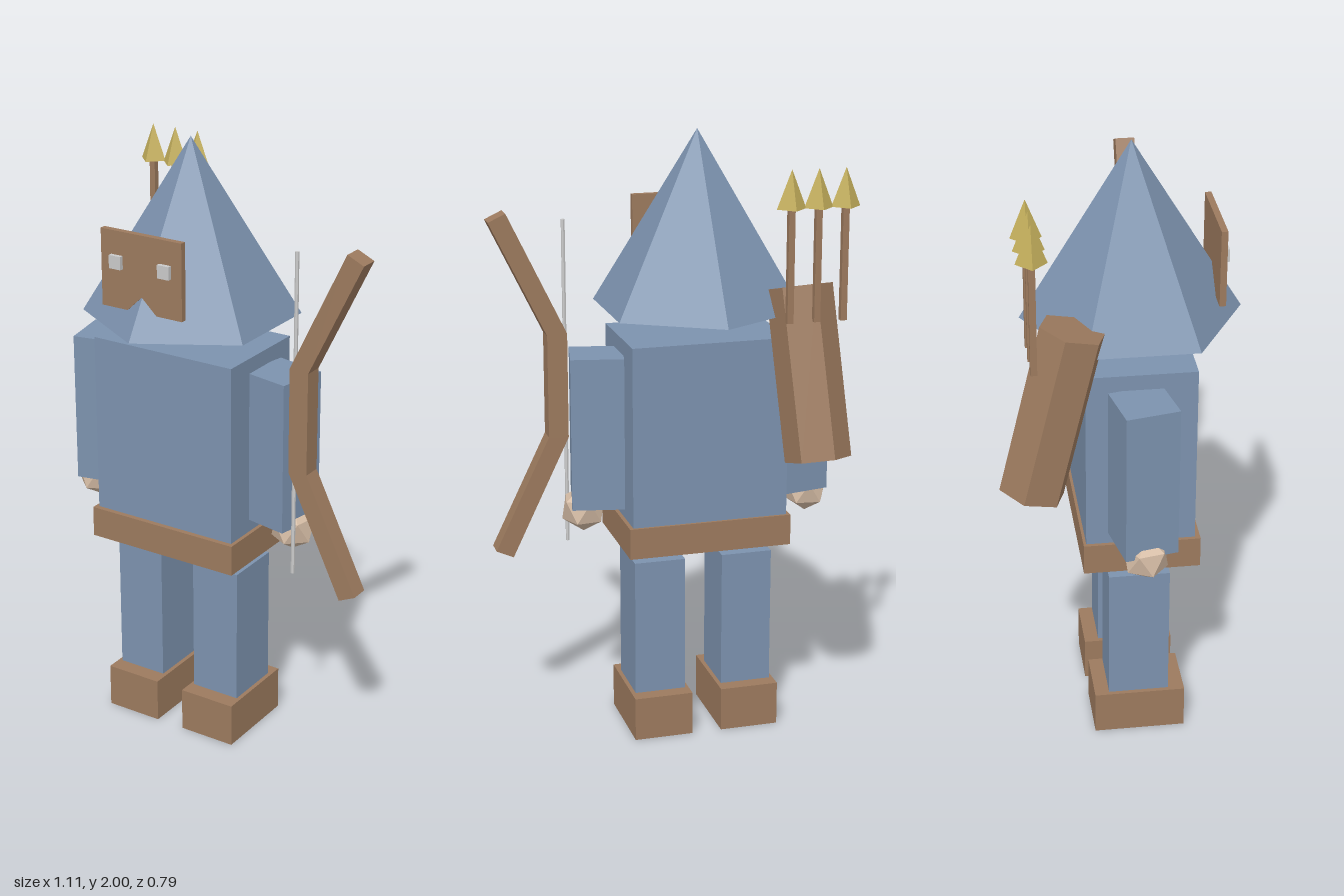
import * as THREE from 'three';

const mat = (name, color) => {
  const m = new THREE.MeshStandardMaterial({ color, flatShading: true });
  m.name = name;
  return m;
};

export function createModel() {
  const cloth = mat('blueCloth', 0x7c92ae);
  const leather = mat('brownLeather', 0x9c7a5e);
  const skin = mat('skin', 0xd4bba4);
  const gold = mat('gold', 0xc4af5c);
  const pale = mat('paleGrey', 0xcacaca);

  const model = new THREE.Group();
  model.name = 'archer';
  const cx = -0.108, cz = 0.049; // centre of the body

  const add = (name, geometry, material, x, y, z, parent = model) => {
    const mesh = new THREE.Mesh(geometry, material);
    mesh.name = name;
    mesh.position.set(x, y, z);
    parent.add(mesh);
    return mesh;
  };
  const box = (w, h, d) => new THREE.BoxGeometry(w, h, d);
  const plate = (points, depth) => new THREE.ExtrudeGeometry(
    new THREE.Shape(points.map(([x, y]) => new THREE.Vector2(x, y))),
    { depth, bevelEnabled: false });

  // Body and hood
  add('torso', box(0.515, 0.593, 0.344), cloth, cx, 1.0535, cz);
  add('belt', box(0.54, 0.102, 0.37), leather, cx, 0.706, 0.053);
  add('hood', new THREE.ConeGeometry(0.345, 0.565, 6), cloth, cx, 1.7175, 0.048);

  // Mask with a notch under the nose
  add('mask', plate([
    [-0.147, -0.123], [-0.053, -0.123], [0, -0.073], [0.053, -0.123],
    [0.147, -0.123], [0.147, 0.123], [-0.147, 0.123],
  ], 0.02), leather, -0.11, 1.632, 0.298);

  // Paired parts
  const handShape = new THREE.IcosahedronGeometry(0.077, 0);
  handShape.rotateZ(Math.atan(2 / (1 + Math.sqrt(5))));
  for (const [side, s] of [['left', 1], ['right', -1]]) {
    add(side + 'Eye', box(0.042, 0.042, 0.015), pale, -0.11 + s * 0.0885, 1.658, 0.3245);
    add(side + 'Leg', box(0.17, 0.459, 0.196), cloth, cx + s * 0.148, 0.3775, 0.05);
    add(side + 'Boot', box(0.196, 0.147, 0.296), leather, cx + s * 0.148, 0.0735, 0.053);
    const arm = add(side + 'Arm', box(0.17, 0.5, 0.17), cloth, cx + s * 0.333, 1.05, 0.045);
    arm.rotation.y = -s * 0.2;
    const hand = add(side + 'Hand', handShape, skin, cx + s * 0.381, 0.782, 0.047);
    hand.rotation.y = s > 0 ? -0.2 : Math.PI + 0.2;
  }

  // Bow and string
  const bow = new THREE.Group();
  bow.name = 'bow';
  model.add(bow);
  const outline = [[0.31, 0.172], [0.5, 0.567], [0.556, 0.541], [0.375, 0.168]];
  const mirrored = outline.map(([x, y]) => [x, -y]).reverse();
  add('bowLimbs', plate([...outline, ...mirrored].reverse(), 0.062), leather, 0, 1.188, 0.081, bow);
  add('bowString', new THREE.CylinderGeometry(0.0065, 0.0065, 1.07, 6), pale, 0.312, 1.188, 0.111, bow);

  // Slanted quiver on the back
  const quiver = add('quiver', new THREE.CylinderGeometry(0.105, 0.105, 0.548, 6), leather, -0.395, 1.26, -0.227);
  quiver.rotation.set(0.25, 0.2, 0, 'YXZ');

  // Arrows
  for (let i = -1; i <= 1; i++) {
    const arrow = new THREE.Group();
    arrow.name = 'arrow';
    arrow.position.set(-0.394 + i * 0.087, 0, -0.286);
    model.add(arrow);
    add('arrowShaft', box(0.02, 0.36, 0.02), leather, 0, 1.62, 0, arrow);
    add('arrowHead', new THREE.ConeGeometry(0.047, 0.12, 4), gold, 0, 1.855, 0, arrow);
  }
  return model;
}
